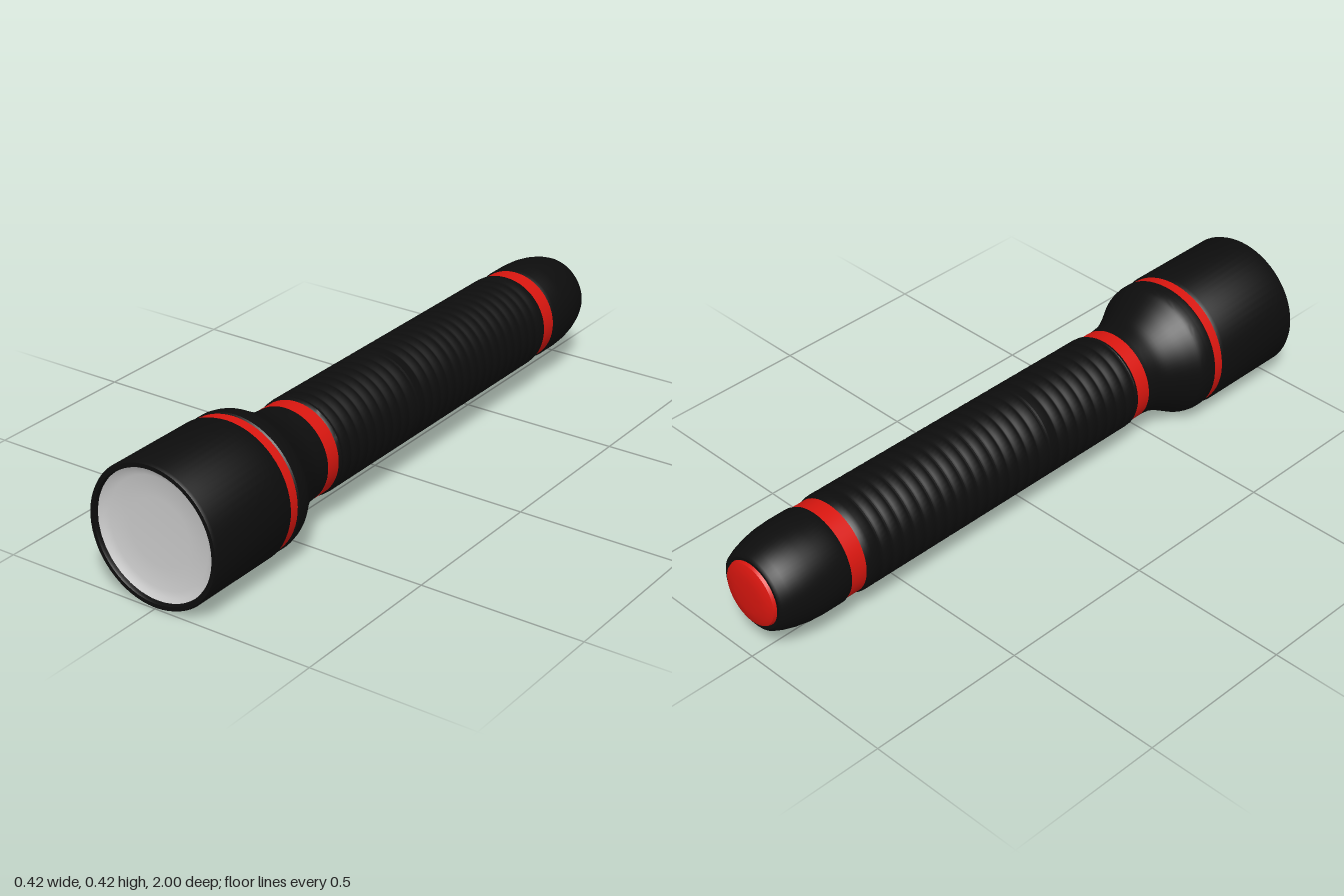
import * as THREE from 'three';
import { toCreasedNormals } from 'three/addons/utils/BufferGeometryUtils.js';

const AXIS_Y = 0.212;
const black = new THREE.MeshStandardMaterial({ color: 0x0d0d0d });
const red = new THREE.MeshStandardMaterial({ color: 0xd9160f });
const grey = new THREE.MeshStandardMaterial({ color: 0xcccccc });

// Turned part: profile of [radius, z] from back to front, spun around the z axis
function turned(name, profile, material, segments = 64) {
  const points = profile.map(([r, z]) => new THREE.Vector2(r, z));
  const geometry = new THREE.LatheGeometry(points, segments);
  geometry.rotateX(Math.PI / 2);
  const mesh = new THREE.Mesh(toCreasedNormals(geometry, 0.6), material);
  mesh.name = name;
  return mesh;
}

// Plain accent band
const band = (name, r, z0, z1) =>
  turned(name, [[r - 0.02, z0], [r, z0], [r, z1], [r - 0.02, z1]], red);

export function createModel() {
  const group = new THREE.Group();
  group.name = 'flashlight';
  const body = new THREE.Group();
  body.name = 'body';
  body.position.y = AXIS_Y;
  group.add(body);

  // Head with a thin bezel and a recessed inner wall
  body.add(turned('head', [
    [0.18, 0.678], [0.206, 0.678], [0.212, 0.69], [0.212, 0.992],
    [0.208, 1], [0.196, 1], [0.193, 0.994], [0.193, 0.975],
  ], black));

  // Shallow concave lens
  body.add(turned('lens', [
    [0.195, 0.988], [0.182, 0.979], [0.165, 0.973], [0.1, 0.969], [0, 0.968],
  ].reverse().map(([r, z]) => [r, z]).reverse(), grey, 32));

  // Flared neck between head and grip
  const flare = new THREE.SplineCurve([
    [0.142, 0.42], [0.144, 0.45], [0.15, 0.49], [0.168, 0.535],
    [0.19, 0.575], [0.204, 0.6], [0.21, 0.625],
  ].map(([r, z]) => new THREE.Vector2(r, z)));
  body.add(turned('neck', [
    ...flare.getPoints(24).map((p) => [p.x, p.y]),
    [0.21, 0.645], [0.204, 0.652], [0.18, 0.652],
  ], black));

  // Grip with fine shallow ribs
  const grip = [[0.12, -0.702], [0.143, -0.702], [0.148, -0.692]];
  const ribs = 26;
  const pitch = 1.05 / ribs;
  for (let i = 0; i < ribs; i++) {
    const z = -0.685 + i * pitch;
    grip.push([0.149, z + 0.005], [0.149, z + pitch - 0.01],
      [0.1465, z + pitch - 0.005], [0.1465, z + pitch]);
  }
  grip.push([0.148, 0.368], [0.143, 0.377], [0.12, 0.377]);
  body.add(turned('grip', grip, black));

  // Rounded tail cap
  body.add(turned('tailCap', [
    [0.09, -0.978], [0.108, -0.98], [0.117, -0.974], [0.127, -0.95],
    [0.137, -0.915], [0.144, -0.875], [0.147, -0.83], [0.147, -0.765],
    [0.142, -0.752], [0.12, -0.752],
  ], black));

  // Domed tail button
  body.add(turned('tailButton', [
    [0, -1], [0.05, -0.999], [0.08, -0.995], [0.095, -0.988], [0.1, -0.975],
  ], red, 40));

  // Accent bands
  body.add(band('headBand', 0.207, 0.65, 0.68));
  body.add(band('neckBand', 0.143, 0.375, 0.425));
  body.add(band('tailBand', 0.143, -0.755, -0.7));

  return group;
}
